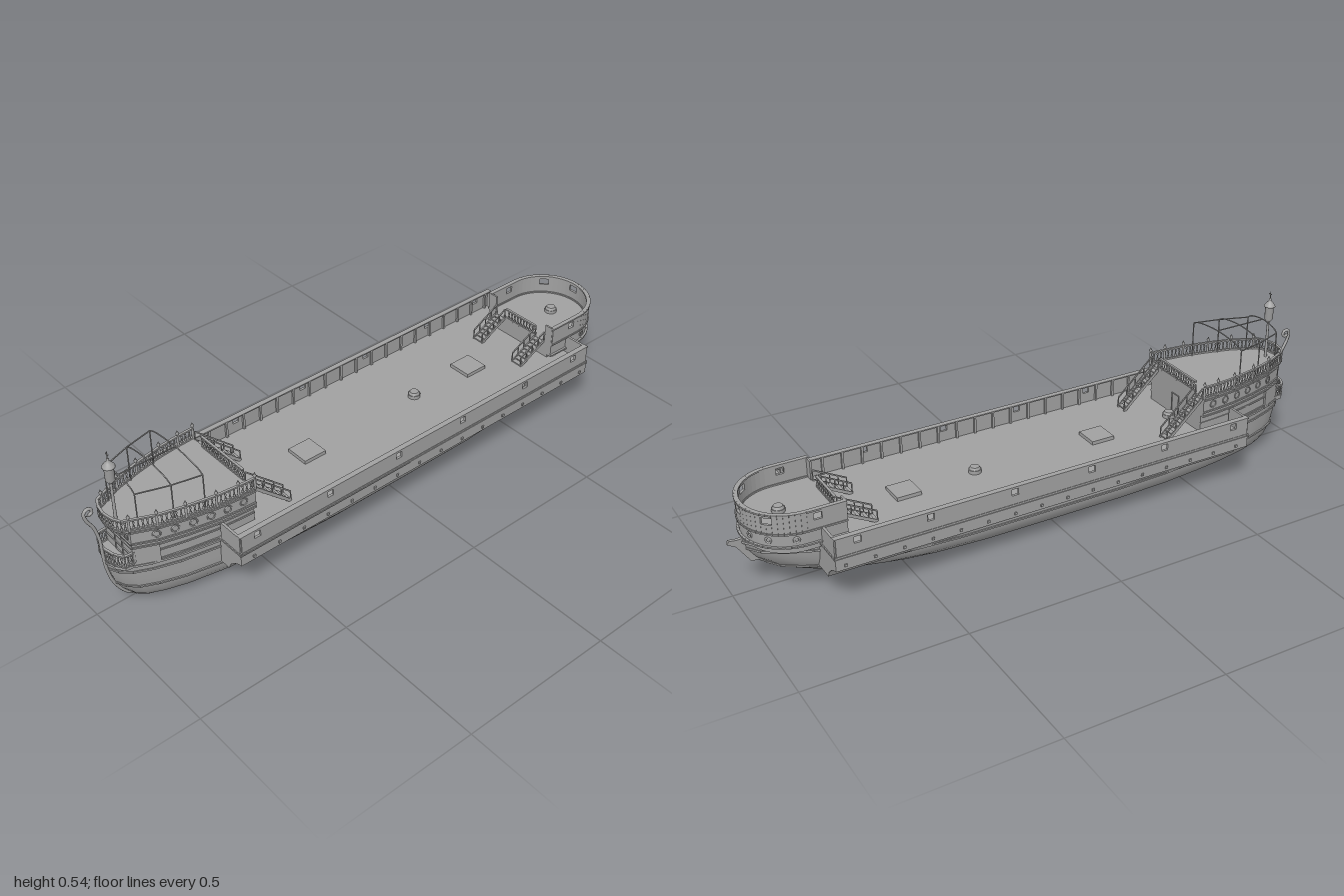
import * as THREE from 'three';
import { mergeGeometries } from 'three/addons/utils/BufferGeometryUtils.js';

const V = (x, y, z) => new THREE.Vector3(x, y, z);

export function createModel() {
  const ship = new THREE.Group();
  const grey = new THREE.MeshStandardMaterial({ color: 0xa0a0a0 });
  grey.name = 'grey';

  const add = (name, ...geos) => {
    const flat = geos.flat(Infinity).map(g => (g.index ? g.toNonIndexed() : g));
    const mesh = new THREE.Mesh(mergeGeometries(flat), grey);
    mesh.name = name;
    ship.add(mesh);
  };
  const box = (w, h, d, x, y, z) => new THREE.BoxGeometry(w, h, d).translate(x, y, z);
  const cyl = (r0, r1, h, x, y, z, n = 16) => new THREE.CylinderGeometry(r0, r1, h, n).translate(x, y, z);
  const lathe = (pts, x, y, z, n = 16) =>
    new THREE.LatheGeometry(pts.map(p => new THREE.Vector2(...p)), n).translate(x, y, z);
  const tube = (pts, r, n = 24) =>
    new THREE.TubeGeometry(new THREE.CatmullRomCurve3(pts), n, r, 8);
  // Square bar between two points
  const beam = (a, b, w, h = w) => new THREE.BoxGeometry(w, h, a.distanceTo(b))
    .applyMatrix4(new THREE.Matrix4().lookAt(a, b, V(0, 1, 0)).setPosition(a.clone().lerp(b, 0.5)));
  const shapeOf = pts => new THREE.Shape(pts.map(p => new THREE.Vector2(...p)));
  // Plan outline [x, z] extruded between two heights
  const plan = (pts, y0, y1) => new THREE.ExtrudeGeometry(shapeOf(pts), { depth: y1 - y0, bevelEnabled: false })
    .rotateX(Math.PI / 2).translate(0, y1, 0);
  // Bars following a plan path
  const band = (pts, y, w, h) => pts.slice(1).map((p, i) =>
    beam(V(pts[i][0], y, pts[i][1]), V(p[0], y, p[1]), w, h));
  // Wall along a plan path; segments listed in holes get a window gap
  const wall = (pts, y0, y1, t, holes = [], h0 = 0, h1 = 0) => pts.slice(1).map((p, i) => {
    const piece = (lo, hi) => beam(V(pts[i][0], (lo + hi) / 2, pts[i][1]), V(p[0], (lo + hi) / 2, p[1]), t, hi - lo);
    return holes.includes(i) ? [piece(y0, h0), piece(h1, y1)] : [piece(y0, y1)];
  });
  const mirror = pts => [...pts, ...pts.map(([x, z]) => [-x, z]).reverse()];
  // Turned balusters between two rails
  const balustrade = (pts, y0, y1, step = 0.013) => {
    const h = y1 - y0, out = [band(pts, y1, 0.008, 0.005), band(pts, y0 + 0.003, 0.007, 0.005)];
    pts.slice(1).forEach((p, i) => {
      const [ax, az] = pts[i], n = Math.max(1, Math.round(Math.hypot(p[0] - ax, p[1] - az) / step));
      for (let k = 0; k < n; k++) {
        out.push(lathe([[0.0015, 0], [0.004, h * 0.3], [0.0015, h * 0.5], [0.0035, h * 0.7], [0.0015, h]],
          ax + (p[0] - ax) * k / n, y0, az + (p[1] - az) * k / n, 6));
      }
    });
    return out;
  };
  // Open stair with stringers and handrails
  const stair = (x, w, y0, z0, y1, z1) => {
    const out = [], n = 8;
    for (let i = 0; i < n; i++) {
      const t = (i + 0.5) / n;
      out.push(box(w, 0.004, 0.016, x, y0 + (y1 - y0) * t, z0 + (z1 - z0) * t));
    }
    for (const s of [-1, 1]) {
      const sx = x + s * w / 2;
      out.push(beam(V(sx, y0, z0), V(sx, y1, z1), 0.004, 0.01));
      out.push(beam(V(sx, y0 + 0.035, z0), V(sx, y1 + 0.035, z1), 0.004));
      for (let i = 0; i <= 4; i++) {
        const t = i / 4;
        out.push(box(0.003, 0.035, 0.003, sx, y0 + (y1 - y0) * t + 0.017, z0 + (z1 - z0) * t));
      }
    }
    return out;
  };

  // Hull: waterlines [y, half width, front z, rear z], each with the same taper
  const levels = [[0.008, 0.02, 0.86, -0.5], [0.011, 0.08, 0.875, -0.58], [0.018, 0.12, 0.885, -0.66],
    [0.03, 0.145, 0.895, -0.74], [0.05, 0.162, 0.91, -0.82], [0.07, 0.169, 0.92, -0.865],
    [0.085, 0.172, 0.928, -0.89], [0.11, 0.172, 0.935, -0.92], [0.145, 0.172, 0.945, -0.945], [0.18, 0.172, 0.95, -0.955]];
  const taper = [[1, 0.02], [0.985, 0.2], [0.955, 0.36], [0.9, 0.5], [0.82, 0.64], [0.69, 0.78], [0.57, 0.87],
    [0.4, 0.96], [0.2, 1], [-0.1, 1], [-0.4, 0.99], [-0.6, 0.92], [-0.72, 0.82], [-0.83, 0.66], [-0.91, 0.47],
    [-0.97, 0.25], [-1, 0.02]];
  const waterline = ([, w, zf, zb], grow = 0) => mirror(taper.map(([f, s]) =>
    [w * s + grow, (zf + zb) / 2 + f * (zf - zb) / 2]));
  const pos = [], idx = [], M = taper.length * 2;
  levels.forEach(l => waterline(l).forEach(([x, z]) => pos.push(x, l[0], z)));
  for (let i = 0; i < levels.length - 1; i++) {
    for (let j = 0; j < M; j++) {
      const a = i * M + j, b = i * M + (j + 1) % M;
      idx.push(a, b, a + M, b, b + M, a + M);
    }
  }
  pos.push(0, 0.008, 0);
  for (let j = 0; j < M; j++) idx.push(levels.length * M, (j + 1) % M, j);
  const hull = new THREE.BufferGeometry();
  hull.setAttribute('position', new THREE.Float32BufferAttribute(pos, 3));
  hull.setIndex(idx);
  hull.computeVertexNormals();
  const hullMesh = new THREE.Mesh(hull, grey);
  hullMesh.name = 'hull';
  ship.add(hullMesh);
  add('hullTop', plan(waterline(levels[9]), 0.174, 0.18));
  add('hullWales', band(waterline(levels[6], 0.002), 0.085, 0.006, 0.005),
    band(waterline(levels[8], 0.001), 0.148, 0.006, 0.006), band(waterline(levels[9], 0.001), 0.172, 0.007, 0.007));

  // Keel, scrolled stem and rear beak
  add('keel', box(0.008, 0.012, 1.46, 0, 0.006, 0.14),
    tube([V(0, 0.008, -0.56), V(0, 0.02, -0.68), V(0, 0.05, -0.82), V(0, 0.1, -0.91), V(0, 0.15, -0.95)], 0.005));
  const scroll = [V(0, 0.006, 0.87), V(0, 0.03, 0.9), V(0, 0.085, 0.933), V(0, 0.15, 0.95), V(0, 0.2, 0.955),
    V(0, 0.26, 0.958), V(0, 0.31, 0.97), V(0, 0.345, 0.988)];
  for (let i = 0; i < 9; i++) {
    const a = i * 0.75, r = 0.015 - i * 0.001;
    scroll.push(V(0, 0.37 + r * Math.sin(a), 0.979 + r * Math.cos(a)));
  }
  add('stemPost', tube(scroll, 0.005, 80));
  add('beak', new THREE.ExtrudeGeometry(shapeOf([[0.9, 0.1], [0.935, 0.1], [0.955, 0.13], [0.975, 0.16], [1, 0.175],
    [0.995, 0.185], [0.97, 0.182], [0.93, 0.185]]), { depth: 0.01, bevelEnabled: false })
    .rotateY(Math.PI / 2).translate(-0.005, 0, 0));

  // Wide deck box overhanging the hull on concave brackets
  const Z0 = -0.77, Z1 = 0.655, side = [[0.232, 0.18], [0.232, 0.138], [0.215, 0.134], [0.195, 0.123], [0.178, 0.107],
    [0.168, 0.087], [0.12, 0.087]];
  add('mainDeck', new THREE.ExtrudeGeometry(shapeOf(mirror(side).reverse()), { depth: Z1 - Z0, bevelEnabled: false })
    .translate(0, 0, Z0));
  const path = [[0.14, Z1 - 0.004], [0.229, Z1 - 0.004]], holes = [];
  for (const z of [0.595, 0.33, 0.065, -0.2, -0.475, -0.7]) {
    holes.push(path.length);
    path.push([0.229, z + 0.011], [0.229, z - 0.011]);
  }
  path.push([0.229, Z0 + 0.004], [0.14, Z0 + 0.004]);
  for (const s of [1, -1]) {
    const p = path.map(([x, z]) => [x * s, z]), trim = [];
    for (let i = 0; i < 16; i++) trim.push(box(0.006, 0.008, 0.008, s * 0.233, 0.152, 0.61 - i * 0.09));
    for (let i = 0; i < 22; i++) trim.push(box(0.008, 0.058, 0.007, s * 0.222, 0.209, 0.63 - i * 0.0655));
    add('bulwark', wall(p, 0.178, 0.24, 0.008, holes, 0.214, 0.235));
    add('bulwarkTrim', trim, box(0.018, 0.004, Z1 - Z0, s * 0.224, 0.24, (Z0 + Z1) / 2),
      [0.175, 0.183].map(y => box(0.005, 0.004, Z1 - Z0 + 0.004, s * 0.232, y, (Z0 + Z1) / 2)),
      [Z0, Z1].map(z => box(0.1, 0.006, 0.006, s * 0.183, 0.178, z)));
  }

  // Hatches and round capstans along the deck
  add('hatches', [0.23, -0.45].map(z => box(0.08, 0.012, 0.08, 0, 0.186, z)));
  add('capstans', [[-0.84, 0.235], [-0.21, 0.18], [0.51, 0.18]].map(([z, y]) =>
    [cyl(0.02, 0.02, 0.012, 0, y + 0.006, z, 20), cyl(0.014, 0.018, 0.008, 0, y + 0.016, z, 20)]));

  // Tapered front castle
  const flank = [[0.15, 0.535], [0.147, 0.59], [0.14, 0.66], [0.122, 0.75], [0.1, 0.83], [0.068, 0.9]];
  const castle = mirror(flank);
  const lower = castle.map(([x, z]) => [x * 0.92, z]);
  add('frontCastle', plan(lower, 0.16, 0.24), plan(castle, 0.238, 0.298));
  add('castleBands', [0.24, 0.254, 0.296].map(y => band(castle, y, 0.008, 0.005)), band(lower, 0.21, 0.006, 0.005));
  const nose = [...flank, [0.06, 0.918], [0.035, 0.93], [0, 0.936]];
  const upperEdge = [...nose, ...nose.slice(0, -1).map(([x, z]) => [-x, z]).reverse()];
  add('upperDeck', plan(upperEdge, 0.297, 0.305));
  add('upperBalustrade', balustrade(upperEdge, 0.305, 0.342), balustrade([[0.1, 0.538], [-0.1, 0.538]], 0.305, 0.342));
  add('railFinials', upperEdge.filter(([x]) => Math.abs(x) > 0.06).map(([x, z]) =>
    lathe([[0.004, 0], [0.004, 0.04], [0.002, 0.043], [0.0055, 0.05], [0, 0.062]], x, 0.302, z, 8)));
  // Round side windows
  const ports = [];
  for (let i = 0; i < 6; i++) {
    const z = 0.575 + i * 0.052, k = flank.findIndex(p => p[1] > z), [ax, az] = flank[k - 1], [bx, bz] = flank[k];
    const x = ax + (bx - ax) * (z - az) / (bz - az), turn = Math.atan2(bz - az, ax - bx);
    for (const s of [1, -1]) {
      ports.push(new THREE.TorusGeometry(0.011, 0.0025, 6, 16).rotateY(s * turn).translate(s * x, 0.275, z));
    }
  }
  add('castlePortholes', ports);
  const frame = (w, h, x, y, z) => [box(w, 0.002, 0.004, x, y + h / 2, z), box(w, 0.002, 0.004, x, y - h / 2, z),
    box(0.002, h, 0.004, x - w / 2, y, z), box(0.002, h, 0.004, x + w / 2, y, z)];
  add('castleWindows', frame(0.016, 0.016, 0.047, 0.272, 0.901), frame(0.016, 0.016, -0.047, 0.272, 0.901),
    frame(0.036, 0.075, 0, 0.221, 0.901), frame(0.036, 0.075, 0, 0.217, 0.534));
  // Front gallery
  const gallery = [[0.068, 0.895], [0.066, 0.925], [0.04, 0.942], [0, 0.95], [-0.04, 0.942], [-0.066, 0.925], [-0.068, 0.895]];
  add('gallery', plan(gallery, 0.168, 0.18), plan(castle.slice(4, 8), 0.17, 0.298), balustrade(gallery, 0.18, 0.222, 0.01));
  add('castleStairs', [-1, 1].map(s => stair(s * 0.122, 0.036, 0.18, 0.405, 0.3, 0.535)));

  // Canopy frame over the upper deck
  const hoops = [[0.128, 0.69], [0.108, 0.78], [0.075, 0.875]], canopy = [];
  hoops.forEach(([x, z], i) => {
    canopy.push(tube([V(x, 0.425, z), V(x * 0.85, 0.434, z), V(x * 0.5, 0.442, z), V(0, 0.446, z),
      V(-x * 0.5, 0.442, z), V(-x * 0.85, 0.434, z), V(-x, 0.425, z)], 0.002));
    for (const s of [1, -1]) {
      canopy.push(cyl(0.002, 0.002, 0.125, s * x, 0.363, z, 8));
      if (i) canopy.push(beam(V(s * hoops[i - 1][0], 0.425, hoops[i - 1][1]), V(s * x, 0.425, z), 0.003));
    }
  });
  add('canopyFrame', canopy, beam(V(0, 0.446, 0.69), V(0, 0.446, 0.875), 0.003));

  // Lantern on its pole
  add('lantern', cyl(0.004, 0.005, 0.14, 0, 0.37, 0.9, 10),
    lathe([[0, 0.43], [0.007, 0.433], [0.014, 0.443], [0.014, 0.485], [0.019, 0.487], [0.018, 0.491], [0.009, 0.502],
      [0.004, 0.507], [0.004, 0.513], [0.0015, 0.517], [0.0015, 0.538], [0, 0.539]], 0, 0, 0.9),
    box(0.012, 0.003, 0.003, 0, 0.53, 0.9));

  // Round rear castle
  const arc = [[0.143, -0.69], [0.143, -0.765], [0.143, -0.79], [0.143, -0.81]];
  const R = 0.143, N = 28;
  for (let i = 1; i < N; i++) arc.push([R * Math.cos(Math.PI * i / N), -0.81 - R * Math.sin(Math.PI * i / N)]);
  const rear = [...arc, ...arc.slice(0, 4).map(([x, z]) => [-x, z]).reverse()];
  const last = rear.length - 2;
  add('rearCastle', plan(rear, 0.19, 0.236), plan(rear.map(([x, z]) => [x * 0.9, -0.69 + (z + 0.69) * 0.94]), 0.165, 0.191));
  add('rearWall', wall(rear, 0.234, 0.3, 0.008, [1, 9, 10, 16, 17, 18 - 4, last - 1, last - 9, last - 10]
    .filter(i => i !== 14 && i !== 17 || i === 17), 0.268, 0.289));
  add('rearBands', [0.195, 0.238, 0.299].map(y => band(rear, y, 0.014, 0.005)));
  add('rearPorts', [4, 9, 13, 19, 23, 28].map(i => {
    const [x, z] = rear[i + 1];
    return new THREE.TorusGeometry(0.008, 0.003, 6, 14).rotateY(Math.atan2(x, z + 0.81)).translate(x, 0.216, z);
  }));
  add('rearBalustrade', balustrade([[0.068, -0.693], [-0.068, -0.693]], 0.236, 0.272));
  add('rearCheeks', [-1, 1].map(s => box(0.03, 0.064, 0.006, s * 0.128, 0.268, -0.692)));
  add('rearStairs', [-1, 1].map(s => stair(s * 0.09, 0.038, 0.18, -0.585, 0.236, -0.69)));
  return ship;
}
